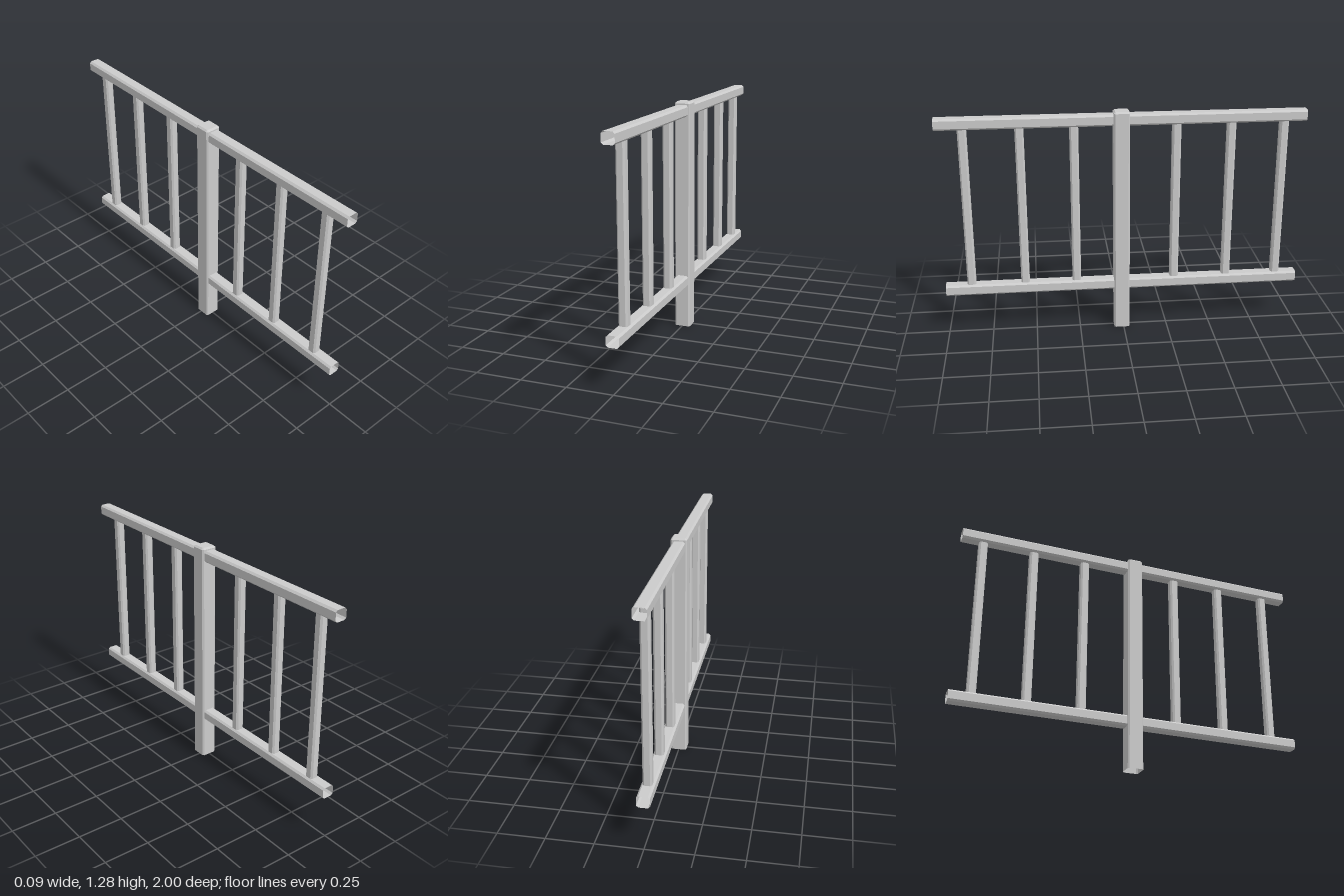
import * as THREE from 'three';

const material = new THREE.MeshStandardMaterial({
  color: 0xcccccc, flatShading: true, side: THREE.DoubleSide,
});

// Square outline with chamfered corners, in the xz plane
function outline(hx, hz, c) {
  return [
    [hx, -hz + c], [hx, hz - c], [hx - c, hz], [-hx + c, hz],
    [-hx, hz - c], [-hx, -hz + c], [-hx + c, -hz], [hx - c, -hz],
  ];
}

// Hollow bar lofted along y through rings { y, hx, hz, c }, optionally closed on top
function bar(rings, closed = false) {
  const loops = rings.map(({ y, hx, hz, c }) =>
    outline(hx, hz, c).map(([x, z]) => [x, y, z]));
  const pos = [];
  const tri = (...points) => points.forEach((p) => pos.push(...p));
  const n = 8;
  for (let k = 0; k < loops.length - 1; k++) {
    for (let i = 0; i < n; i++) {
      const j = (i + 1) % n;
      const low = loops[k], high = loops[k + 1];
      tri(low[i], high[i], low[j]);
      tri(low[j], high[i], high[j]);
    }
  }
  if (closed) {
    const top = loops[loops.length - 1];
    const centre = [0, top[0][1], 0];
    for (let i = 0; i < n; i++) tri(centre, top[(i + 1) % n], top[i]);
  }
  const geometry = new THREE.BufferGeometry();
  geometry.setAttribute('position', new THREE.Float32BufferAttribute(pos, 3));
  geometry.computeVertexNormals();
  return geometry;
}

export function createModel() {
  const model = new THREE.Group();
  model.name = 'railing';
  const add = (name, geometry, y, z) => {
    const mesh = new THREE.Mesh(geometry, material);
    mesh.name = name;
    mesh.position.set(0, y, z);
    model.add(mesh);
  };

  // Post: open at the foot, bevelled and closed at the top
  const post = { hx: 0.044, hz: 0.044, c: 0.008 };
  add('post', bar([
    { y: 0, ...post },
    { y: 1.268, ...post },
    { y: 1.277, hx: 0.035, hz: 0.035, c: 0.004 },
  ], true), 0, 0.01);

  // Two hollow rails with open ends
  const section = { hx: 0.034, hz: 0.031, c: 0.01 };
  const rail = bar([{ y: -1, ...section }, { y: 1, ...section }]).rotateX(Math.PI / 2);
  add('lowerRail', rail, 0.27, 0);
  add('upperRail', rail, 1.23, 0);

  // Balusters between the rails
  const slim = { hx: 0.024, hz: 0.024, c: 0.009 };
  const baluster = bar([{ y: 0.298, ...slim }, { y: 1.218, ...slim }]);
  [0.855, 0.555, 0.265, -0.29, -0.59, -0.88].forEach((z, i) =>
    add(`baluster${i + 1}`, baluster, 0, z));

  return model;
}
